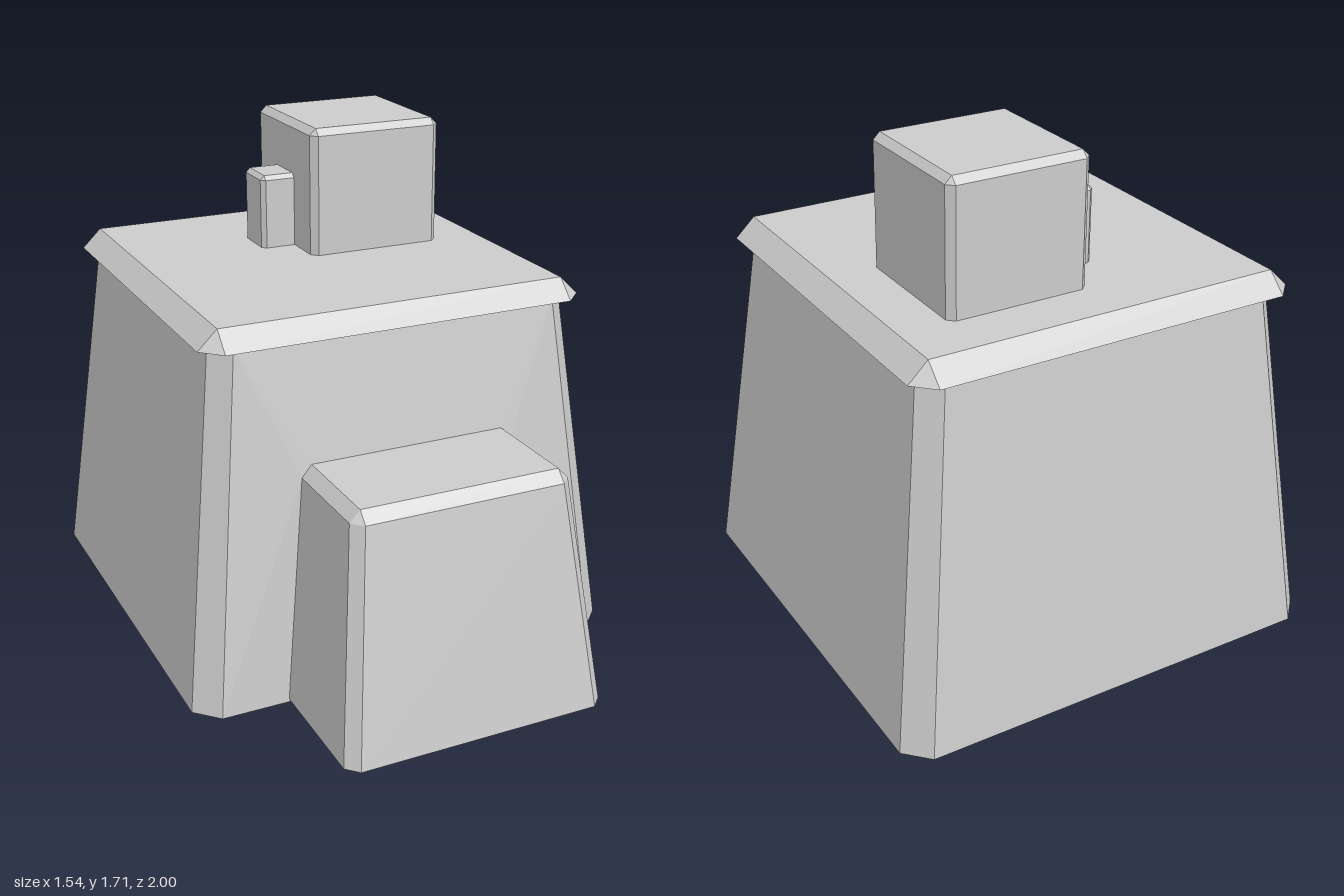
import * as THREE from 'three';

const material = new THREE.MeshStandardMaterial({ color: 0xcccccc, flatShading: true });

// Rectangle with its corners cut by c, counterclockwise from above
function ring(y, x0, x1, z0, z1, c) {
  return [
    [x1, y, z1 - c], [x1, y, z0 + c], [x1 - c, y, z0], [x0 + c, y, z0],
    [x0, y, z0 + c], [x0, y, z1 - c], [x0 + c, y, z1], [x1 - c, y, z1],
  ];
}

function fan(out, pts) {
  for (let i = 1; i < pts.length - 1; i++) out.push(pts[0], pts[i], pts[i + 1]);
}

// Skin stacked rings, close both ends, optionally leaving one side open
function loft(rings, skipSide = -1) {
  const tris = [];
  for (let r = 0; r < rings.length - 1; r++) {
    for (let i = 0; i < 8; i++) {
      if (i === skipSide) continue;
      const j = (i + 1) % 8;
      const [a, b, c, d] = [rings[r][i], rings[r][j], rings[r + 1][j], rings[r + 1][i]];
      // a sharp corner collapses its side to a triangle
      if (a.join() !== b.join()) tris.push(a, b, c);
      if (c.join() !== d.join()) tris.push(a, c, d);
    }
  }
  fan(tris, [...rings[0]].reverse());
  fan(tris, rings[rings.length - 1]);
  return tris;
}

function part(name, tris) {
  const geometry = new THREE.BufferGeometry();
  geometry.setAttribute('position', new THREE.Float32BufferAttribute(tris.flat(), 3));
  geometry.computeVertexNormals();
  const mesh = new THREE.Mesh(geometry, material);
  mesh.name = name;
  return mesh;
}

// Upright block with bevelled vertical and top edges
function bevelBlock(name, y0, y1, x0, x1, z0, z1, b) {
  return part(name, loft([
    ring(y0, x0, x1, z0, z1, b),
    ring(y1 - b, x0, x1, z0, z1, b),
    ring(y1, x0 + b, x1 - b, z0 + b, z1 - b, 0),
  ]));
}

export function createModel() {
  const model = new THREE.Group();

  // Tapered body; its front wall bulges slightly around the porch
  const body = loft([
    ring(0, -0.77, 0.77, -1, 0.54, 0.077),
    ring(1.2, -0.63, 0.63, -0.86, 0.4, 0.063),
  ], 6);
  const A = [-0.693, 0, 0.54], B = [0.693, 0, 0.54];
  const C = [0.567, 1.2, 0.4], D = [-0.567, 1.2, 0.4];
  const P = [[-0.46, 0, 0.54], [-0.38, 0.765, 0.48], [-0.345, 0.8, 0.475],
    [0.345, 0.8, 0.475], [0.38, 0.765, 0.48], [0.46, 0, 0.54]];
  body.push(
    A, P[0], P[1], A, P[1], D, D, P[1], P[2], D, P[2], P[3],
    D, P[3], C, C, P[3], P[4], C, P[4], B, B, P[4], P[5],
  );
  fan(body, [P[0], P[5], P[4], P[3], P[2], P[1]]);
  model.add(part('body', body));

  // Overhanging lid with sloping rim
  model.add(part('lid', loft([
    ring(1.2, -0.677, 0.677, -0.907, 0.447, 0.067),
    ring(1.265, -0.61, 0.61, -0.84, 0.38, 0),
  ])));

  // Tapered porch on the front, its back end buried in the body
  model.add(part('porch', loft([
    ring(0.01, -0.46, 0.46, 0.3, 1, 0.04),
    ring(0.765, -0.38, 0.38, 0.3, 0.865, 0.036),
    ring(0.803, -0.344, 0.344, 0.336, 0.828, 0),
  ])));

  // Chimney blocks on the lid
  model.add(bevelBlock('chimney', 1.26, 1.707, -0.042, 0.445, -0.668, -0.183, 0.023));
  model.add(bevelBlock('smallChimney', 1.26, 1.523, -0.163, 0, -0.508, -0.345, 0.015));

  return model;
}
